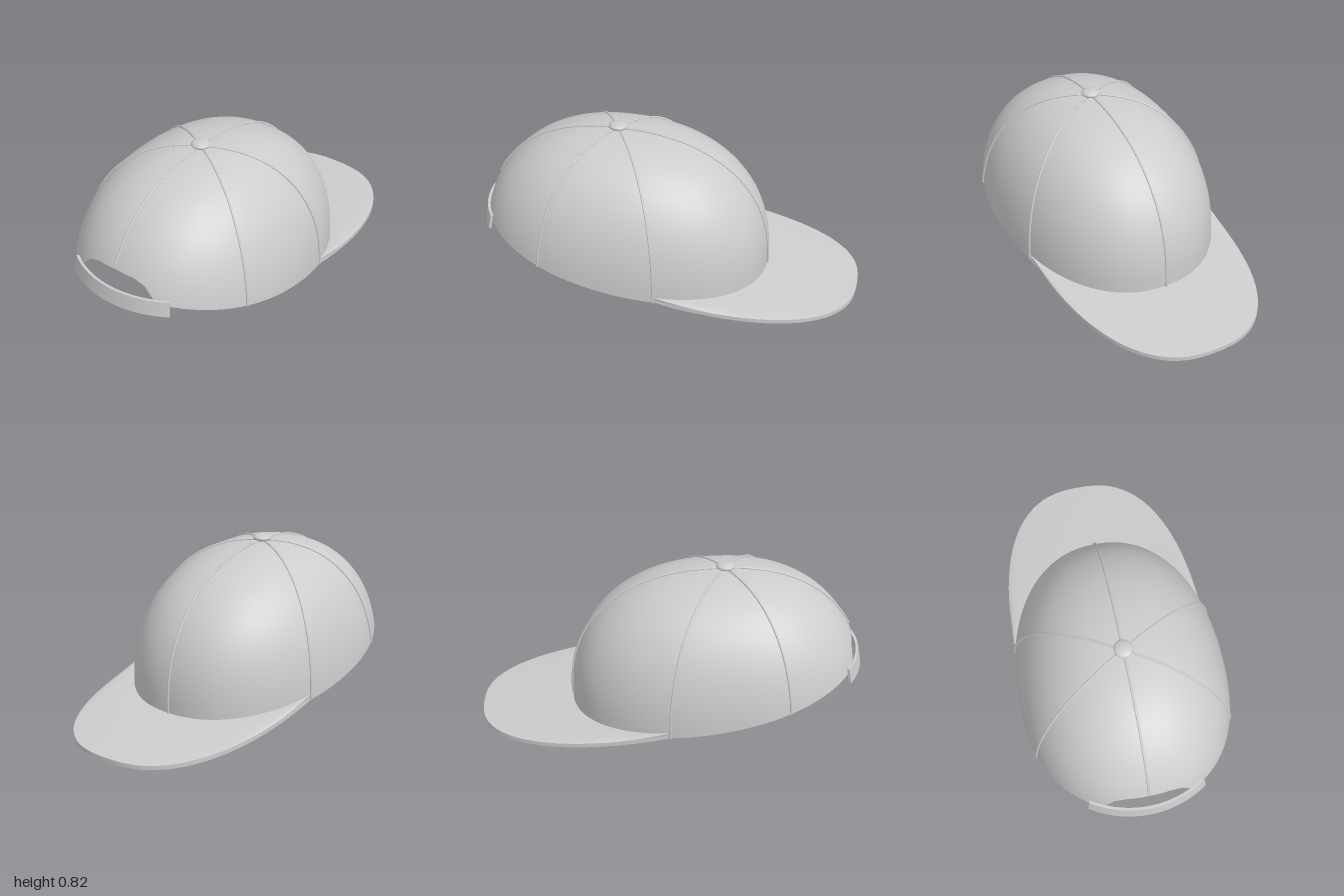
import * as THREE from 'three';

const BASE_Y = 0.1, DOME = 0.69, CZ = 0.28, RX = 0.558, R_FRONT = 0.8, R_BACK = 0.725;
const PLAN = 2.2, RISE = 2 / 2.3; // fullness of the crown seen from above and from the side
const { lerp, clamp } = THREE.MathUtils;
const signedPow = (x, p) => Math.sign(x) * Math.abs(x) ** p;

// Piecewise-linear interpolation through [x, y] points
function polyline(points, x) {
  for (let i = 1; i < points.length; i++) {
    const [x0, y0] = points[i - 1], [x1, y1] = points[i];
    if (x <= x1) return lerp(y0, y1, (x - x0) / (x1 - x0));
  }
  return points[points.length - 1][1];
}

// Surface grid from fn(u, v) with u and v in 0..1
function grid(fn, nu, nv) {
  const pos = [], index = [];
  for (let j = 0; j <= nv; j++) {
    for (let i = 0; i <= nu; i++) {
      pos.push(...fn(i / nu, j / nv).toArray());
      if (i < nu && j < nv) {
        const a = j * (nu + 1) + i, b = a + nu + 1;
        index.push(a, a + 1, b, b, a + 1, b + 1);
      }
    }
  }
  const g = new THREE.BufferGeometry();
  g.setAttribute('position', new THREE.Float32BufferAttribute(pos, 3));
  g.setIndex(index);
  g.computeVertexNormals();
  return g;
}

// Slope of the brim, and the crown's lower rim that rises toward the back
function brimY(z) {
  const s = Math.max(0, (-0.02 - z) / 0.98);
  return 0.108 - 0.15 * s + 0.042 * s * s;
}
function rimY(z) {
  const d = Math.max(0, z + 0.02);
  return brimY(z) + 0.006 + 0.14 * d + 0.095 * d * d;
}

// Arched opening above the strap, as height over |x|
const ARCH = [[0, 0.438], [0.11, 0.432], [0.17, 0.41], [0.225, 0.35], [0.255, 0.3]];

// Point on the crown: a = azimuth from the brim side, e = elevation, k = scale
function crownPoint(a, e, k = 1) {
  const s = Math.sin(a), c = Math.cos(a);
  const rz = c > 0 ? R_FRONT : R_BACK;
  const plan = (Math.abs(s / RX) ** PLAN + Math.abs(c / rz) ** PLAN) ** (-1 / PLAN);
  const r = k * plan * (e > 0 ? Math.abs(Math.cos(e)) ** RISE : 1);
  return new THREE.Vector3(r * s, BASE_Y + DOME * k * signedPow(Math.sin(e), RISE), CZ - r * c);
}

// Elevation at which the crown is cut off
function edgeElevation(a) {
  let e = 0.2;
  for (let i = 0; i < 14; i++) {
    const p = crownPoint(a, e);
    let y = rimY(p.z);
    if (p.z > 0.5 && Math.abs(p.x) < 0.255) y = Math.max(y, polyline(ARCH, Math.abs(p.x)));
    const t = clamp((y - BASE_Y) / DOME, -1, 1);
    e = lerp(e, Math.asin(signedPow(t, 1 / RISE)), 0.8);
  }
  return e;
}

export function createModel() {
  const model = new THREE.Group();
  const cloth = new THREE.MeshStandardMaterial({ color: 0xcccccc, side: THREE.DoubleSide });
  cloth.name = 'light grey cloth';
  const add = (name, geometry, parent = model) => {
    const m = new THREE.Mesh(geometry, cloth);
    m.name = name;
    parent.add(m);
    return m;
  };
  const section = (name) => {
    const g = new THREE.Group();
    g.name = name;
    model.add(g);
    return g;
  };

  // Crown: outer cloth, lining and the edge that joins them
  const crown = section('crown');
  const N = 240, INNER = 0.985;
  const edges = Array.from({ length: N + 1 }, (_, i) => edgeElevation(i / N * Math.PI * 2));
  const shell = (k) => (u, v) =>
    crownPoint(u * Math.PI * 2, lerp(Math.PI / 2, edges[Math.round(u * N)], v), k);
  add('crownOuter', grid((u, v) => shell(1)(1 - u, v), N, 36), crown);
  add('crownLining', grid(shell(INNER), N, 36), crown);
  add('crownEdge', grid((u, v) => shell(lerp(1, INNER, v))(1 - u, 1), N, 1), crown);

  // Six raised seams running from the button to the rim
  const seams = section('seams');
  for (let i = 0; i < 6; i++) {
    const a = i * Math.PI / 3, end = edgeElevation(a) + (i === 3 ? 0.025 : 0);
    const points = [];
    for (let j = 0; j <= 24; j++) points.push(crownPoint(a, lerp(Math.PI / 2, end, j / 24), 1.004));
    add('seam', new THREE.TubeGeometry(new THREE.CatmullRomCurve3(points), 64, 0.006, 8), seams);
  }

  // Button on top
  const button = add('button', new THREE.SphereGeometry(1, 32, 16));
  button.scale.set(0.048, 0.019, 0.048);
  button.position.set(0, 0.804, CZ);

  // Brim: v runs from the crown to the full, rounded outer edge, lift adds thickness
  const brim = section('brim');
  const THICK = 0.022, ROUND = 0.8;
  const brimPoint = (u, v, lift) => {
    const f = (u - 0.5) * Math.PI, s = Math.sin(f), c = Math.abs(Math.cos(f));
    const xi = 0.529 * s;
    const zi = CZ - R_FRONT * (1 - Math.abs(xi / RX) ** PLAN) ** (1 / PLAN);
    const xo = 0.524 * signedPow(s, ROUND), zo = -0.02 - 0.98 * c ** ROUND;
    const z = lerp(zi, zo, v);
    return new THREE.Vector3(lerp(xi, xo, v), brimY(z) + 0.012 * (1 - v * v) + lift, z);
  };
  add('brimTop', grid((u, v) => brimPoint(u, v, THICK), 96, 16), brim);
  add('brimUnderside', grid((u, v) => brimPoint(1 - u, v, 0), 96, 16), brim);
  add('brimEdge', grid((u, v) => brimPoint(u, 1, THICK * (1 - v)), 96, 1), brim);
  add('brimInnerEdge', grid((u, v) => brimPoint(u, 0, THICK * v), 96, 1), brim);

  // Adjustment strap: a flat bar bent to an arc and leaning inward at the top
  const strap = new THREE.BoxGeometry(1, 0.076, 0.014, 40, 1, 1);
  const p = strap.attributes.position;
  for (let i = 0; i < p.count; i++) {
    const a = p.getX(i) * 1.16, y = p.getY(i), r = 0.545 + p.getZ(i) - y * 0.2;
    p.setXYZ(i, r * Math.sin(a), y + 0.313, 0.442 + r * Math.cos(a));
  }
  strap.computeVertexNormals();
  add('strap', strap);

  return model;
}
